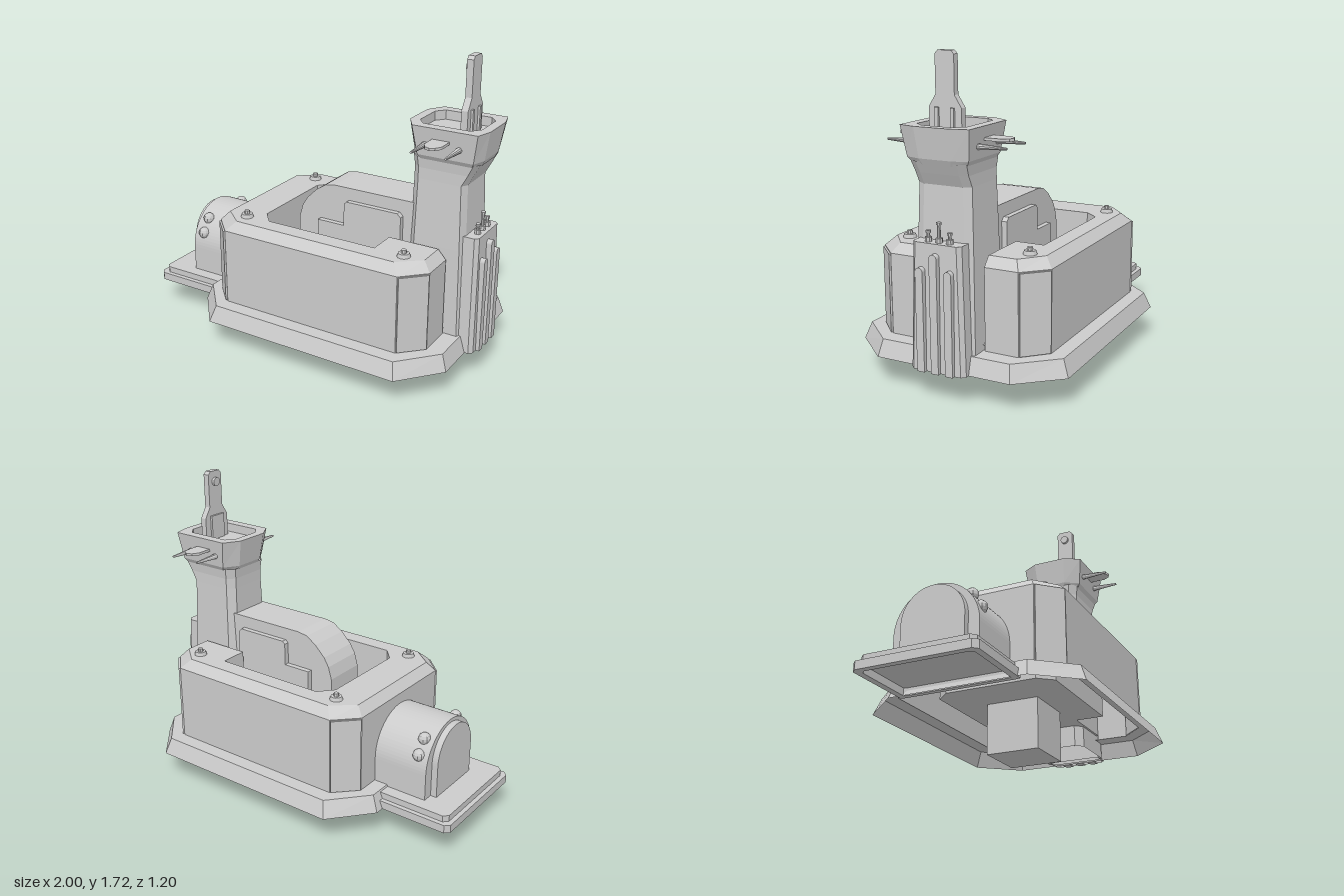
import * as THREE from 'three';

const mat = new THREE.MeshStandardMaterial({ color: 0xcccccc, flatShading: true, side: THREE.DoubleSide });

export function createModel() {
  const model = new THREE.Group();
  const add = (name, geometry, x = 0, y = 0, z = 0) => {
    const mesh = new THREE.Mesh(geometry, mat);
    mesh.name = name;
    mesh.position.set(x, y, z);
    model.add(mesh);
    return mesh;
  };

  // Chamfered rectangle seen from above, as [x, z] corners, counter-clockwise
  const oct = (x0, x1, zh, c0, c1, zc) => [
    [x1, zc], [x1, -zc], [x1 - c1, -zh], [x0 + c0, -zh],
    [x0, -zc], [x0, zc], [x0 + c0, zh], [x1 - c1, zh]];

  // Skin between stacked [y, corners] sections
  const loft = (sections, closed = true, cap = false) => {
    const pos = [];
    const put = (y, p) => pos.push(p[0], y, p[1]);
    for (let s = 0; s < sections.length - 1; s++) {
      const [ya, a] = sections[s], [yb, b] = sections[s + 1], n = a.length;
      for (let i = 0; i < (closed ? n : n - 1); i++) {
        const j = (i + 1) % n;
        put(ya, a[i]); put(ya, a[j]); put(yb, b[j]);
        put(ya, a[i]); put(yb, b[j]); put(yb, b[i]);
      }
    }
    if (cap) {
      const [y, p] = sections[sections.length - 1];
      for (let i = 1; i < p.length - 1; i++) { put(y, p[0]); put(y, p[i]); put(y, p[i + 1]); }
    }
    const g = new THREE.BufferGeometry();
    g.setAttribute('position', new THREE.Float32BufferAttribute(pos, 3));
    g.computeVertexNormals();
    return g;
  };

  const outline = (pts) => new THREE.Shape(pts.map(([a, b]) => new THREE.Vector2(a, b)));
  const plan = (pts, hole) => {
    const s = outline(pts.map(([x, z]) => [x, -z]));
    if (hole) s.holes.push(outline(hole.map(([x, z]) => [x, -z])));
    return s;
  };
  const sheet = (pts, hole) => new THREE.ShapeGeometry(plan(pts, hole)).rotateX(-Math.PI / 2);
  const slab = (pts, h, hole) =>
    new THREE.ExtrudeGeometry(plan(pts, hole), { depth: h, bevelEnabled: false }).rotateX(-Math.PI / 2);
  // Profile in x/y, centred across z
  const prism = (pts, w) =>
    new THREE.ExtrudeGeometry(outline(pts), { depth: w, bevelEnabled: false }).translate(0, 0, -w / 2);
  // Profile in z/y, running along +x
  const alongX = (shape, d) =>
    new THREE.ExtrudeGeometry(shape, { depth: d, bevelEnabled: false, curveSegments: 20 }).rotateY(Math.PI / 2);
  const arch = (r, y0, yc) => {
    const s = new THREE.Shape();
    s.moveTo(-r, y0);
    s.lineTo(r, y0);
    s.lineTo(r, yc);
    s.absarc(0, yc, r, 0, Math.PI, false);
    s.lineTo(-r, y0);
    return s;
  };

  // Sloping foundation skirt
  const skirtTop = oct(-0.565, 0.91, 0.565, 0.18, 0.18, 0.365);
  add('foundationSkirt', loft([[0.16, oct(-0.6, 0.94, 0.6, 0.19, 0.19, 0.38)], [0.25, skirtTop]]));
  add('foundationLedge', sheet(skirtTop, oct(-0.48, 0.81, 0.48, 0.12, 0.12, 0.36)), 0, 0.25, 0);

  // Main hull: open at the tower slot, chamfered roof edge
  const slot = 0.18;
  const hullRing = (x0, x1, zh, zc) => {
    const p = oct(x0, x1, zh, 0.12, 0.12, zc);
    return [[x1, -slot], ...p.slice(1), p[0], [x1, slot]];
  };
  const roofEdge = hullRing(-0.44, 0.775, 0.435, 0.335);
  const lower = hullRing(-0.485, 0.82, 0.485, 0.365);
  add('hullWalls', loft([[0.25, lower], [0.68, lower], [0.73, roofEdge]], false));
  const pitTo = (x) => [[x, slot], [0.49, slot], [0.49, 0.34], [-0.17, 0.34], [-0.24, 0.26],
    [-0.24, -0.26], [-0.17, -0.34], [0.49, -0.34], [0.49, -slot], [x, -slot]];
  add('hullRoof', sheet([...roofEdge, ...pitTo(0.775).slice(1, -1)]), 0, 0.73, 0);
  add('pitWalls', loft([[0.28, pitTo(0.82)], [0.68, pitTo(0.82)], [0.73, pitTo(0.775)]], false));
  add('pitFloor', sheet(pitTo(0.82)), 0, 0.28, 0);

  // Corner armour panels and roof bolts
  for (const sz of [-1, 1]) {
    for (const [x, sx] of [[-0.425, -1], [0.76, 1]]) {
      const panel = add('cornerPanel', new THREE.BoxGeometry(0.16, 0.42, 0.02), x, 0.465, sz * 0.425);
      panel.rotation.y = sx * sz * Math.PI / 4;
    }
    for (const x of [-0.31, 0.665]) {
      add('boltFlange', new THREE.CylinderGeometry(0.03, 0.036, 0.02, 12), x, 0.74, sz * 0.35);
      add('boltHead', new THREE.CylinderGeometry(0.014, 0.016, 0.02, 8), x, 0.757, sz * 0.35);
    }
  }

  // Central housing with stepped side panels, and the block beneath
  add('centralHousing', prism([[-0.11, 0.28], [0.64, 0.28], [0.64, 0.9], [0.62, 0.93], [0.12, 0.93], [0.06, 0.92],
    [0, 0.88], [-0.06, 0.82], [-0.09, 0.77], [-0.11, 0.7]], 0.25));
  add('housingPanels', prism([[0.03, 0.5], [0.54, 0.5], [0.54, 0.84], [0.52, 0.86], [0.21, 0.86], [0.195, 0.845],
    [0.195, 0.72], [0.03, 0.72]], 0.31));
  add('undersideBlock', new THREE.BoxGeometry(0.3, 0.28, 0.3), 0.17, 0.14, 0);

  // Entry barrel with end cap and rivets
  add('entryBarrel', alongX(arch(0.235, 0.2, 0.385), 0.33), -0.8, 0, 0);
  add('barrelCap', alongX(arch(0.175, 0.24, 0.425), 0.04), -0.835, 0, 0);
  for (const sz of [-1, 1]) {
    for (const [y, z] of [[0.555, 0.16], [0.48, 0.21]]) {
      add('barrelRivet', new THREE.SphereGeometry(0.034, 10, 7), -0.74, y, sz * z);
    }
  }

  // Entry platform, hollow underneath
  add('platformRim', slab(oct(-1, -0.56, 0.33, 0.025, 0.005, 0.305), 0.045,
    oct(-0.965, -0.59, 0.295, 0.02, 0.005, 0.275)), 0, 0.16, 0);
  add('platformDeck', slab(oct(-0.975, -0.5, 0.305, 0.025, 0.005, 0.28), 0.04), 0, 0.2, 0);

  // Tower column
  const col = (x0, x1, zh) => oct(x0, x1, zh, 0.04, 0.02, zh - 0.04);
  add('towerColumn', loft([[0.16, col(0.575, 0.915, 0.17)], [0.73, col(0.583, 0.9, 0.158)],
    [1.08, col(0.59, 0.888, 0.148)], [1.14, col(0.59, 0.92, 0.148)], [1.2, col(0.585, 0.95, 0.155)]]));

  // Flared tower head with a sunken top
  const head = (x0, x1, zh) => oct(x0, x1, zh, 0.055, 0.025, zh * 0.52);
  const well = oct(0.6, 0.935, 0.135, 0.04, 0.04, 0.085);
  add('towerHead', loft([[1.185, head(0.59, 0.945, 0.15)], [1.215, head(0.575, 0.96, 0.17)],
    [1.37, head(0.55, 0.985, 0.19)], [1.37, well], [1.32, well]], true, true));

  // Mast with disc and small rods
  const mast = [[-0.09, 1.32], [0.09, 1.32], [0.09, 1.45], [0.052, 1.51], [0.052, 1.7], [0.036, 1.717],
    [-0.036, 1.717], [-0.052, 1.7], [-0.052, 1.51], [-0.09, 1.45]];
  add('mast', alongX(outline(mast), 0.036), 0.823, 0, 0);
  add('mastDisc', new THREE.CylinderGeometry(0.025, 0.025, 0.02, 12).rotateZ(Math.PI / 2), 0.817, 1.655, 0);
  add('mastBacking', new THREE.BoxGeometry(0.015, 0.14, 0.1), 0.818, 1.39, 0);

  for (const sz of [-1, 1]) {
    add('mastRod', new THREE.BoxGeometry(0.015, 0.13, 0.02), 0.863, 1.385, sz * 0.043);
    // Side fins and tapered prongs of the head
    const fin = [[0.715, 0.14], [0.81, 0.14], [0.81, 0.27], [0.79, 0.305], [0.765, 0.318], [0.735, 0.305], [0.715, 0.27]];
    add('headFin', slab(fin.map(([x, z]) => [x, z * sz]), 0.014), 0, 1.298, 0);
    for (const x of [0.675, 0.86]) {
      add('headProng', new THREE.CylinderGeometry(0.006, 0.017, 0.17, 10).rotateX(sz * Math.PI / 2), x, 1.277, sz * 0.245);
    }
  }

  // Rear radiator with rounded ribs and pipe stubs
  add('radiator', loft([[0.16, oct(0.86, 0.98, 0.155, 0.01, 0.02, 0.135)],
    [0.81, oct(0.86, 0.97, 0.135, 0.01, 0.02, 0.115)]], true, true));
  for (const [z, ribTop, stubTop] of [[-0.08, 0.69, 0.865], [0, 0.765, 0.91], [0.08, 0.69, 0.865]]) {
    add('radiatorRib', alongX(arch(0.021, 0.16, ribTop - 0.021), 0.06), 0.94, 0, z);
    const h = stubTop - 0.8;
    add('pipeStub', new THREE.CylinderGeometry(0.009, 0.009, h, 8), 0.935, 0.8 + h / 2, z * 0.75);
    add('pipeCollar', new THREE.CylinderGeometry(0.018, 0.018, 0.025, 8), 0.935, 0.82, z * 0.75);
    add('pipeCap', new THREE.CylinderGeometry(0.013, 0.013, 0.012, 8), 0.935, stubTop - 0.006, z * 0.75);
  }

  return model;
}
